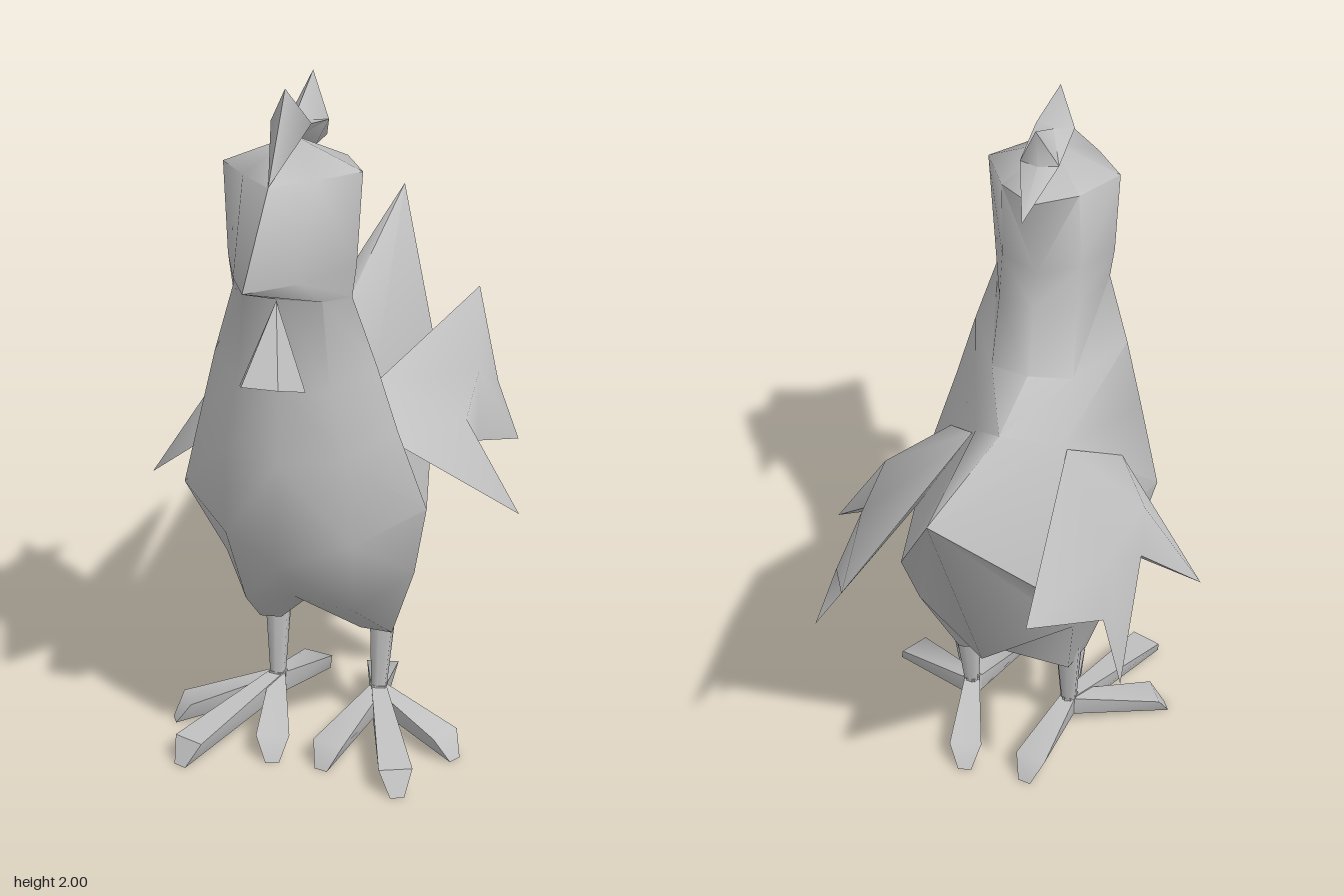
import * as THREE from 'three';
import { toCreasedNormals } from 'three/addons/utils/BufferGeometryUtils.js';
import { ConvexGeometry } from 'three/addons/geometries/ConvexGeometry.js';

const clay = new THREE.MeshStandardMaterial({ color: 0xc0c0c0, side: THREE.DoubleSide });
clay.name = 'clay grey';

// Builds a mesh from a list of triangles, each made of three [x, y, z] corners.
function triMesh(name, tris, crease) {
  const geo = new THREE.BufferGeometry();
  geo.setAttribute('position', new THREE.Float32BufferAttribute(tris.flat(2), 3));
  return creased(name, geo, crease);
}

function creased(name, geo, crease) {
  geo.deleteAttribute('normal');
  const mesh = new THREE.Mesh(toCreasedNormals(geo, crease), clay);
  mesh.name = name;
  return mesh;
}

const mirror = (tris) => tris.map(([a, b, c]) => [a, c, b].map(([x, y, z]) => [-x, y, z]));

// Domes a closed outline: each outline edge joins the hub that owns it.
function dome(loop, hubs, owner) {
  const n = loop.length, tris = [];
  loop.forEach((p, i) => {
    const hub = hubs[owner[i]], prev = hubs[owner[(i + n - 1) % n]];
    tris.push([hub, loop[(i + 1) % n], p]);
    if (hub !== prev) tris.push([p, prev, hub]);
  });
  return tris;
}

// Body, neck, head, beak and tail: half rings from front middle to back middle.
function body() {
  const top = [0, 1.86, 0.36];
  const rings = [
    [top, top, top, top, top],
    [[0, 1.78, 0.58], [0.1, 1.78, 0.48], [0.19, 1.78, 0.37], [0.11, 1.78, 0.23], [0, 1.78, 0.15]],
    [[0, 1.57, 0.8], [0.09, 1.54, 0.6], [0.177, 1.53, 0.38], [0.115, 1.54, 0.25], [0, 1.53, 0.2]],
    [[0, 1.46, 0.51], [0.11, 1.45, 0.47], [0.165, 1.44, 0.38], [0.115, 1.42, 0.22], [0, 1.43, 0.17]],
    [[0, 1.2, 0.515], [0.13, 1.2, 0.47], [0.228, 1.24, 0.355], [0.12, 1.22, 0.16], [0, 1.24, 0.11]],
    [[0, 1.0, 0.525], [0.17, 1.0, 0.45], [0.28, 1.05, 0.33], [0.13, 1.08, 0.03], [0, 1.23, -0.17]],
    [[0, 0.7, 0.53], [0.18, 0.74, 0.43], [0.35, 0.81, 0.28], [0.19, 0.98, -0.47], [0, 1.4, -0.8]],
    [[0, 0.54, 0.37], [0.16, 0.49, 0.32], [0.28, 0.54, 0.13], [0.23, 0.63, -0.21], [0, 0.57, -0.35]],
    [[0, 0.48, 0.25], [0.12, 0.34, 0.12], [0.2, 0.31, 0.07], [0.17, 0.3, -0.03], [0, 0.48, -0.2]],
  ];
  // Quads under the wing and tail split along the other diagonal
  const flipped = ['5,2', '6,3'];
  const half = [];
  for (let i = 0; i < rings.length - 1; i++) {
    for (let j = 0; j < 4; j++) {
      const a = rings[i][j], b = rings[i][j + 1], c = rings[i + 1][j + 1], d = rings[i + 1][j];
      if (a === b) half.push([a, d, c]);
      else if (flipped.includes(`${i},${j}`)) half.push([a, d, b], [d, c, b]);
      else half.push([a, d, c], [a, c, b]);
    }
  }
  // Inner thighs, meeting at the middle
  const last = rings[rings.length - 1];
  for (let j = 1; j < 4; j++) half.push([last[0], last[j + 1], last[j]]);
  return triMesh('body', [...half, ...mirror(half)], 1.25);
}

// Comb with two peaks and a point at the back
function comb() {
  const loop = [
    [0, 1.78, 0.58], [0, 2.0, 0.43], [0, 1.9, 0.36], [0, 1.99, 0.18],
    [0, 1.87, 0.2], [0, 1.78, 0.05], [0, 1.78, 0.16], [0, 1.85, 0.36],
  ];
  const hubs = [[0.055, 1.9, 0.38], [0.055, 1.87, 0.22]];
  const half = dome(loop, hubs, [0, 0, 1, 1, 1, 1, 1, 0]);
  return triMesh('comb', [...half, ...mirror(half)], 1.2);
}

// Left wing, with three feather points
function wingTris() {
  const loop = [
    [0.26, 0.95, 0.2], [0.14, 1.07, 0.03], [0.25, 1.1, -0.77], [0.38, 0.91, -0.47],
    [0.44, 0.72, -0.5], [0.4, 0.86, -0.12], [0.55, 0.7, 0],
  ];
  const hubs = [[0.385, 0.96, -0.03], [0.355, 1.0, -0.32]];
  const inner = [0.25, 0.92, -0.15];
  const tris = dome(loop, hubs, [0, 1, 1, 1, 1, 0, 0]);
  loop.forEach((p, i) => tris.push([inner, p, loop[(i + 1) % loop.length]]));
  return tris;
}

const convex = (name, pts, crease) =>
  creased(name, new ConvexGeometry(pts.map((p) => new THREE.Vector3(...p))), crease);

// Toe that widens from the ankle to a blunt end with a narrow sole
function toe(side, [ex, ez]) {
  const hx = 0.155, hz = 0.045;
  const len = Math.hypot(ex - hx, ez - hz);
  const dx = (ex - hx) / len, dz = (ez - hz) / len;
  const pts = [];
  const add = (along, across, y) => {
    for (const k of [-across, across]) {
      pts.push([side * (hx + dx * along - dz * k), y, hz + dz * along + dx * k]);
    }
  };
  add(-0.02, 0.02, 0.125);
  add(-0.02, 0.02, 0.06);
  add(len - 0.01, 0.048, 0.068);
  add(len + 0.03, 0.02, 0);
  return convex('toe', pts, 0.9);
}

function leg(side) {
  const group = new THREE.Group();
  group.name = side > 0 ? 'leftLeg' : 'rightLeg';
  const from = new THREE.Vector3(side * 0.155, 0.09, 0.045);
  const to = new THREE.Vector3(side * 0.16, 0.38, 0.015);
  const dir = to.clone().sub(from);
  const shin = new THREE.Mesh(new THREE.CylinderGeometry(0.042, 0.022, dir.length(), 6), clay);
  shin.name = 'shin';
  shin.position.copy(from).add(to).multiplyScalar(0.5);
  shin.quaternion.setFromUnitVectors(new THREE.Vector3(0, 1, 0), dir.normalize());
  group.add(shin);
  // Outer, front, inner and back toes
  for (const end of [[0.4, 0.19], [0.31, 0.43], [0.08, 0.34], [0.1, -0.21]]) group.add(toe(side, end));
  return group;
}

export function createModel() {
  const model = new THREE.Group();
  model.name = 'chicken';
  model.add(body(), comb());

  // Wattle under the beak
  model.add(convex('wattle', [
    [0, 1.46, 0.52], [0.09, 1.23, 0.56], [-0.09, 1.23, 0.56], [0.05, 1.27, 0.67], [-0.05, 1.27, 0.67],
  ], 0.8));

  const wing = wingTris();
  model.add(triMesh('leftWing', wing, 1.0), triMesh('rightWing', mirror(wing), 1.0));
  model.add(leg(1), leg(-1));
  return model;
}
